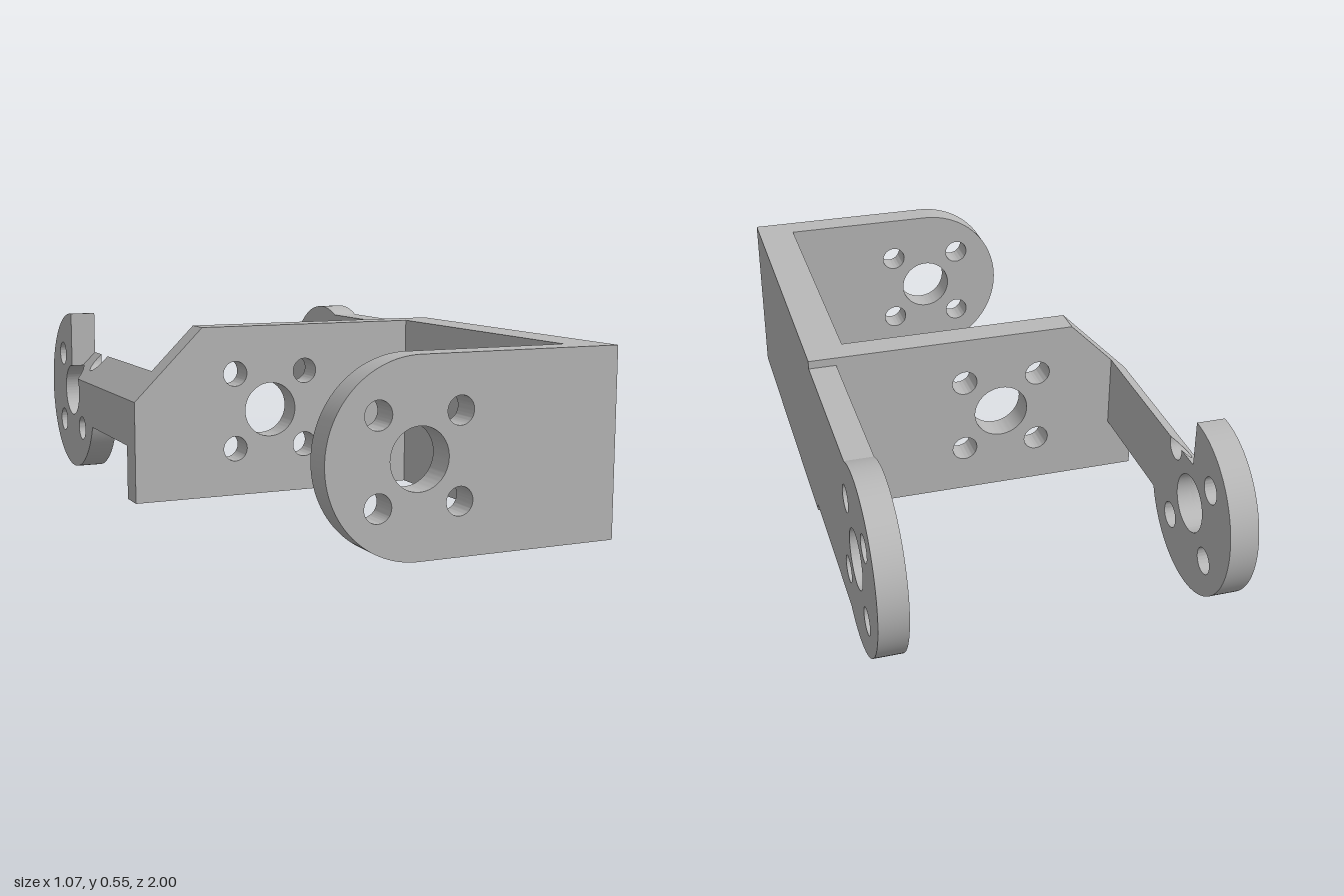
import * as THREE from 'three';
import { toCreasedNormals } from 'three/addons/utils/BufferGeometryUtils.js';

const H = 0.545, C = H / 2, R = C;      // bracket height, boss centre and radius
const T = 0.085;                        // plate thickness
const BORE = 0.087, BOLT = 0.04, OFF = 0.121;
const ZC = -0.727, XC = -0.078;         // centres of the arm bosses and plate bosses
const X = 0.535;                        // half width
const PANEL_X = 0.415;                  // inner face of the thick side panel
const WALL_BACK = -0.075;

function circlePath(x, y, r) {
  return new THREE.Path().absarc(x, y, r, 0, Math.PI * 2, true);
}

// Central bore with four bolt holes around it
function punch(shape, cx) {
  shape.holes.push(circlePath(cx, C, BORE));
  for (const sx of [-1, 1]) for (const sy of [-1, 1]) {
    shape.holes.push(circlePath(cx + sx * OFF, C + sy * OFF, BOLT));
  }
  return shape;
}

function extrude(shape, depth) {
  return new THREE.ExtrudeGeometry(shape, { depth, bevelEnabled: false, curveSegments: 40 });
}

// Turns a (z, y) profile extruded along its own depth into a plate whose larger-x face is at x
function sideways(geometry, x) {
  return geometry.rotateY(-Math.PI / 2).translate(x, 0, 0);
}

// Points on an arc, both ends included
function arc(cx, cy, r, from, to, n) {
  return Array.from({ length: n + 1 }, (_, i) => {
    const a = from + (to - from) * i / n;
    return new THREE.Vector2(cx + r * Math.cos(a), cy + r * Math.sin(a));
  });
}

// Front half of the cut arm, trimmed at height top; the trim opens the bore and a bolt hole
function cutArmContour(top) {
  const bottom = 0.172, q = Math.PI / 2;
  const asin = v => Math.asin(Math.max(-1, Math.min(1, v)));
  const notch = asin((top - C - OFF) / BOLT);
  const bore = asin((top - C) / BORE);
  const points = [
    ...arc(ZC, C, R, -q, asin((bottom - C) / R), 24),
    new THREE.Vector2(WALL_BACK, bottom),
    new THREE.Vector2(WALL_BACK, top),
    ...arc(ZC + OFF, C + OFF, BOLT, notch, -Math.PI - notch, 20),
    new THREE.Vector2(ZC + BORE * Math.cos(bore), top),
    ...arc(ZC, C, BORE, bore, -q, 24),
  ];
  points.forEach(p => { p.y = Math.min(p.y, top); });
  return points;
}

// Lofts the trimmed contour through the arm thickness so its top slopes at 45 degrees
function cutArmGeometry() {
  const steps = 16, pos = [];
  const hole = arc(ZC + OFF, C - OFF, BOLT, Math.PI * 2, 0, 32).slice(0, -1);
  const slices = Array.from({ length: steps + 1 }, (_, i) => {
    const w = T * i / steps;
    return { w, loops: [cutArmContour(0.405 - w), hole] };
  });
  const put = (p, w) => pos.push(p.x, p.y, w);
  for (let s = 0; s < steps; s++) {
    const a = slices[s], b = slices[s + 1];
    a.loops.forEach((loop, k) => loop.forEach((p, i) => {
      const j = (i + 1) % loop.length, next = b.loops[k];
      put(p, a.w); put(loop[j], a.w); put(next[j], b.w);
      put(p, a.w); put(next[j], b.w); put(next[i], b.w);
    }));
  }
  for (const [slice, order] of [[slices[0], [2, 1, 0]], [slices[steps], [0, 1, 2]]]) {
    const all = slice.loops.flat();
    for (const f of THREE.ShapeUtils.triangulateShape(slice.loops[0], [slice.loops[1]])) {
      order.forEach(k => put(all[f[k]], slice.w));
    }
  }
  const g = new THREE.BufferGeometry();
  g.setAttribute('position', new THREE.Float32BufferAttribute(pos, 3));
  return g;
}

export function createModel() {
  const model = new THREE.Group();
  model.name = 'bracket';
  const metal = new THREE.MeshStandardMaterial({ color: 0xb8b8b8 });
  metal.name = 'plain grey';

  const add = (name, geometry) => {
    const mesh = new THREE.Mesh(toCreasedNormals(geometry, 0.4), metal);
    mesh.name = name;
    model.add(mesh);
  };

  // Thick side panel joining the front plate and the cross wall
  add('sidePanel', new THREE.BoxGeometry(X - PANEL_X, H, 1 - WALL_BACK)
    .translate((X + PANEL_X) / 2, C, (1 + WALL_BACK) / 2));

  // Front plate with a round free end
  const front = new THREE.Shape();
  front.moveTo(PANEL_X, 0);
  front.lineTo(PANEL_X, H);
  front.lineTo(XC, H);
  front.absarc(XC, C, R, Math.PI / 2, Math.PI * 1.5, false);
  add('frontPlate', extrude(punch(front, XC), T).translate(0, 0, 1 - T));

  // Cross wall with a chamfered upper corner
  const wall = new THREE.Shape([
    [-X, 0], [PANEL_X, 0], [PANEL_X, H], [-0.31, H], [-X, 0.32],
  ].map(p => new THREE.Vector2(...p)));
  add('crossWall', extrude(punch(wall, XC), T).translate(0, 0, WALL_BACK));

  // Full arm, slightly narrower than its round boss
  const a = Math.asin(0.247 / R);
  const arm = new THREE.Shape();
  arm.moveTo(WALL_BACK, C - 0.247);
  arm.lineTo(WALL_BACK, C + 0.247);
  arm.absarc(ZC, C, R, a, Math.PI * 2 - a, false);
  add('leftArm', sideways(extrude(punch(arm, ZC), T), X));

  // Cut arm: sloping front half and an untouched rear half boss
  add('rightArm', sideways(cutArmGeometry(), T - X));
  const boss = new THREE.Shape();
  boss.moveTo(ZC, C + BORE);
  boss.lineTo(ZC, H);
  boss.absarc(ZC, C, R, Math.PI / 2, Math.PI * 1.5, false);
  boss.lineTo(ZC, C - BORE);
  boss.absarc(ZC, C, BORE, Math.PI * 1.5, Math.PI / 2, true);
  for (const s of [-1, 1]) boss.holes.push(circlePath(ZC - OFF, C + s * OFF, BOLT));
  add('rightArmBoss', sideways(extrude(boss, T), T - X));

  return model;
}
